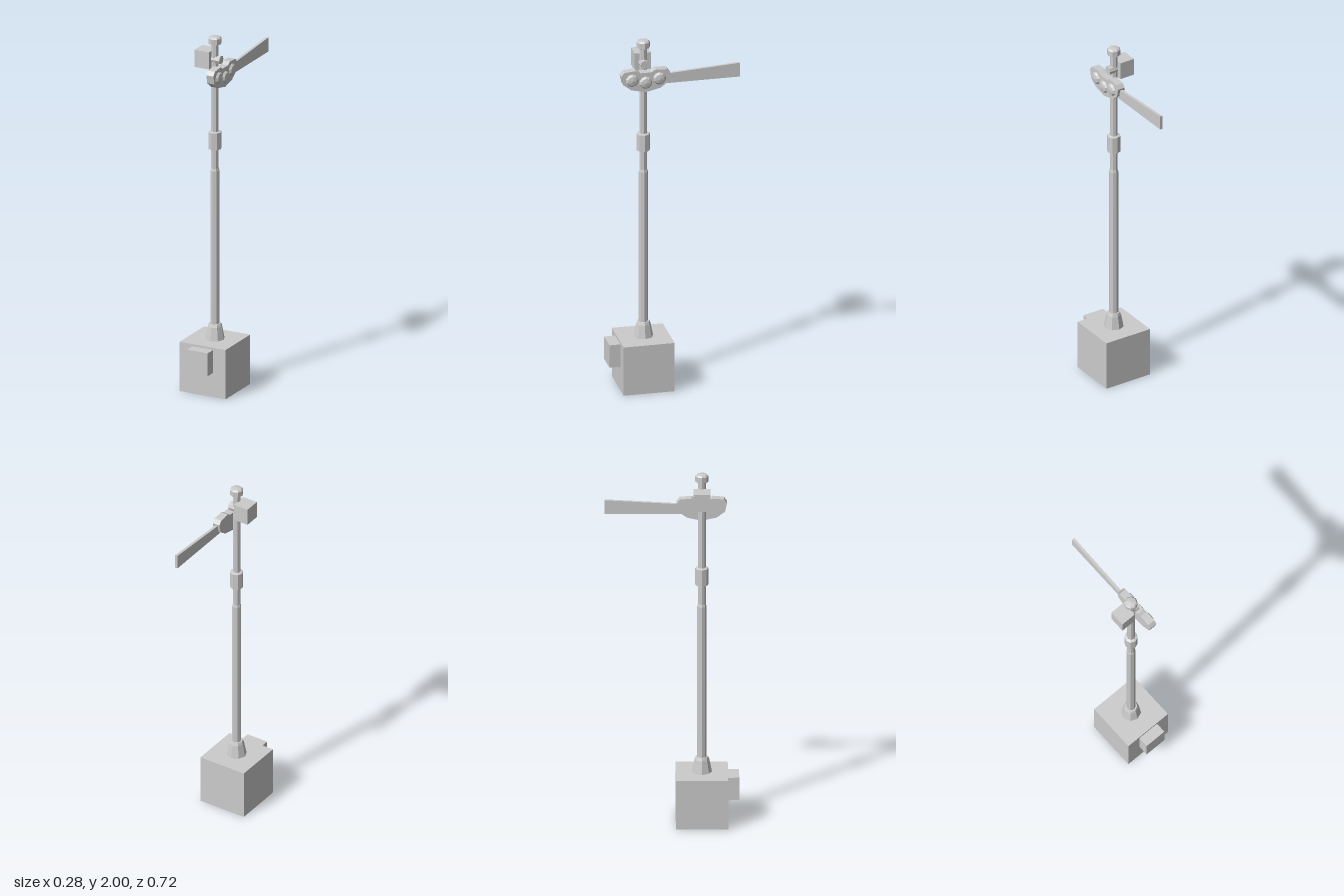
import * as THREE from 'three';

const POST_Z = 0.16;

export function createModel() {
  const model = new THREE.Group();
  const grey = new THREE.MeshStandardMaterial({ color: 0xcccccc, flatShading: true });
  const greyOpen = new THREE.MeshStandardMaterial({ color: 0xcccccc, flatShading: true, side: THREE.DoubleSide });

  const add = (name, geometry, x = 0, y = 0, z = 0, material = grey) => {
    const mesh = new THREE.Mesh(geometry, material);
    mesh.name = name;
    mesh.position.set(x, y, z);
    model.add(mesh);
    return mesh;
  };
  // Box given by its limits on each axis
  const box = (name, [x0, x1], [y0, y1], [z0, z1]) =>
    add(name, new THREE.BoxGeometry(x1 - x0, y1 - y0, z1 - z0), (x0 + x1) / 2, (y0 + y1) / 2, (z0 + z1) / 2);
  // Octagonal turned part on the post axis, profile as [radius, y] from the bottom up
  const turned = (name, profile) =>
    add(name, new THREE.LatheGeometry(profile.map(([r, y]) => new THREE.Vector2(r, y)), 8), 0, 0, POST_Z);
  // Plate outlined in [z, y], thickened along x
  const plate = (name, outline, x0, x1) => {
    const shape = new THREE.Shape(outline.map(([z, y]) => new THREE.Vector2(-z, y)));
    const geometry = new THREE.ExtrudeGeometry(shape, { depth: x1 - x0, bevelEnabled: false });
    return add(name, geometry.rotateY(Math.PI / 2), x0);
  };

  // Foundation block, hollow and open underneath
  const shell = new THREE.BoxGeometry(0.28, 0.28, 0.28);
  const faces = Array.from(shell.index.array);
  faces.splice(18, 6); // bottom face
  shell.setIndex(faces);
  shell.clearGroups();
  add('foundation', shell, 0, 0.14, POST_Z, greyOpen);
  box('controlBox', [-0.063, 0.063], [0.137, 0.267], [0.28, 0.36]);

  // Post with its foot, collar and cap
  turned('postFoot', [[0.055, 0.275], [0.04, 0.352], [0.034, 0.367], [0, 0.367]]);
  turned('post', [[0, 0.01], [0.025, 0.01], [0.025, 1.235], [0.021, 1.25], [0.021, 1.96]]);
  turned('postCollar', [[0.02, 1.355], [0.036, 1.36], [0.036, 1.455], [0.02, 1.46]]);
  turned('postCap', [[0.02, 1.95], [0.036, 1.957], [0.036, 1.988], [0.028, 1.996], [0, 2]]);

  // Lamp housing behind the post, with its lens tube through to the signal side
  box('lampHousing', [-0.1, -0.012], [1.82, 1.917], [0.115, 0.205]);
  add('lampTube', new THREE.CylinderGeometry(0.024, 0.024, 0.06, 8).rotateZ(-Math.PI / 2), 0.009, 1.868, POST_Z);

  // Spectacle plate, symmetric about the post
  const half = [[0, 1.72], [0.08, 1.738], [0.125, 1.772], [0.135, 1.82], [0.118, 1.842], [0.055, 1.847], [0.03, 1.832]];
  const outline = [
    ...half.map(([d, y]) => [POST_Z - d, y]),
    ...half.slice(1).reverse().map(([d, y]) => [POST_Z + d, y]),
  ];
  plate('spectaclePlate', outline, 0.02, 0.063);

  // Three domed lenses
  for (const [d, y] of [[-0.075, 1.793], [0, 1.775], [0.075, 1.793]]) {
    const dome = new THREE.SphereGeometry(0.037, 10, 2, 0, Math.PI * 2, 0, Math.PI / 2);
    dome.scale(1, 0.45, 1).rotateZ(-Math.PI / 2);
    add('lens', dome, 0.062, y, POST_Z + d);
  }

  // Signal arm, widening towards its tip
  plate('signalArm', [[0.05, 1.755], [-0.36, 1.755], [-0.36, 1.835], [0.05, 1.81]], 0.033, 0.048);

  return model;
}
